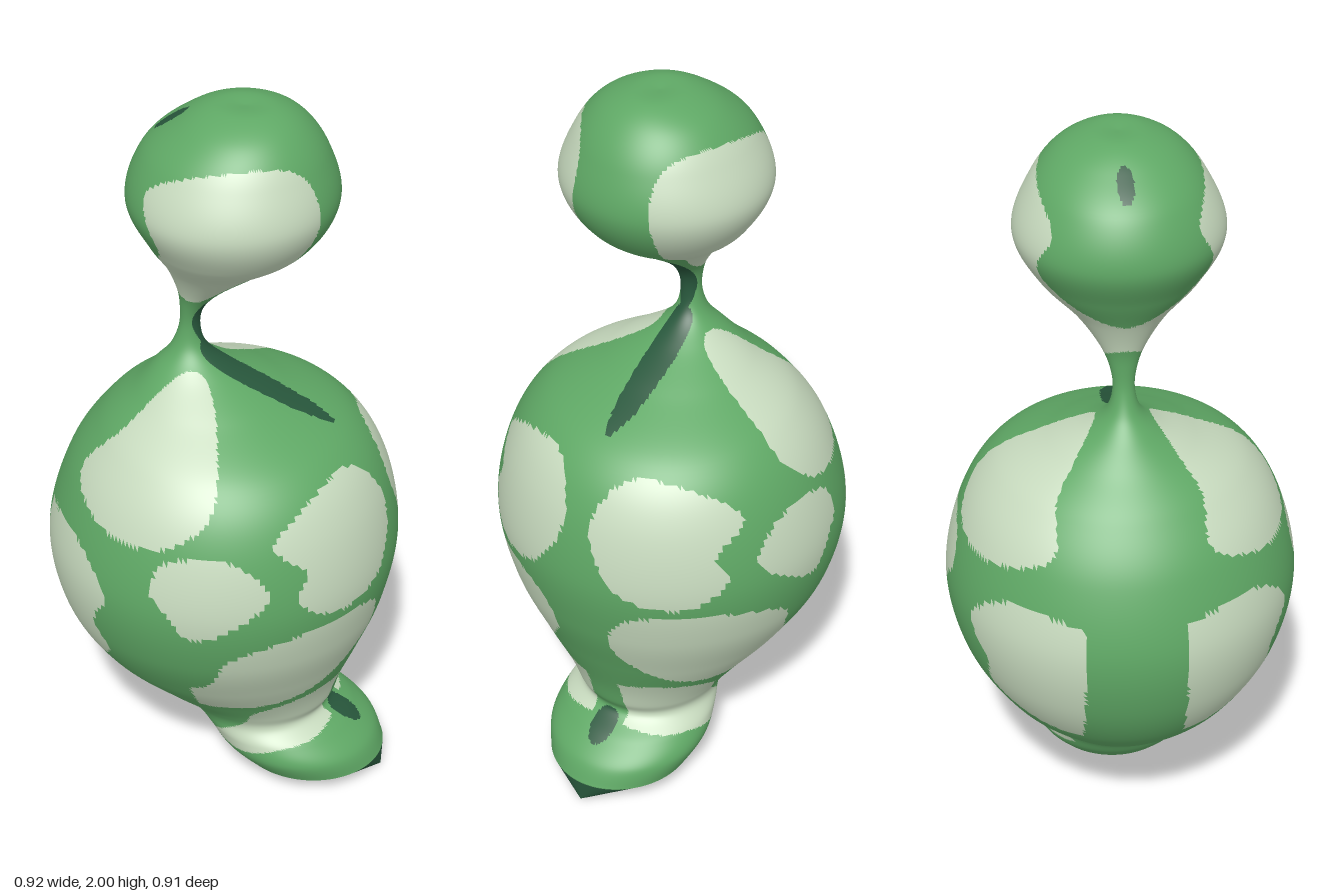
import * as THREE from 'three';

// Cross-sections from top to bottom: y, lowest x, highest x, half depth
const rings = [
  [2, 0.05, 0.05, 0], [2, -0.03, 0.13, 0.07], [1.96, -0.11, 0.2, 0.155], [1.88, -0.2, 0.255, 0.22],
  [1.76, -0.24, 0.283, 0.262], [1.65, -0.195, 0.225, 0.21], [1.56, -0.148, 0.105, 0.12], [1.48, -0.12, 0, 0.06],
  [1.42, -0.113, -0.052, 0.034], [1.36, -0.117, -0.062, 0.028], [1.3, -0.14, -0.04, 0.045], [1.25, -0.18, 0.03, 0.095],
  [1.19, -0.23, 0.155, 0.19], [1.1, -0.32, 0.33, 0.33], [0.97, -0.405, 0.42, 0.415], [0.78, -0.458, 0.457, 0.457],
  [0.6, -0.435, 0.43, 0.425], [0.45, -0.36, 0.377, 0.345], [0.33, -0.24, 0.33, 0.255], [0.26, -0.145, 0.31, 0.205],
  [0.215, -0.09, 0.296, 0.188], [0.17, -0.048, 0.36, 0.207], [0.12, -0.014, 0.42, 0.214], [0.065, 0.04, 0.446, 0.19],
];

// Pale patches as x,y outlines, or |z|,y outlines when side is set; minZ keeps them off the middle
const patches = [
  { pts: [-.15, 1.83, .03, 1.915, .2, 1.905, .26, 1.77, .19, 1.64, .08, 1.57, -.07, 1.46, -.155, 1.53, -.115, 1.69] },
  { pts: [-.07, 1.27, 0, 1.225, .06, 1.07, -.03, .975, -.22, .95, -.325, 1.01, -.2, 1.16] },
  { pts: [-.087, .85, -.05, .93, .12, .945, .21, .85, .13, .765, .02, .72, -.04, .79] },
  { minZ: 0.13, pts: [-.47, .83, -.32, .885, -.215, .78, -.255, .67, -.22, .56, -.3, .47, -.38, .465, -.46, .6] },
  { minZ: 0.05, pts: [0, .16, .1, .24, .14, .31, .33, .36, .32, .2, .2, .17, .07, .14] },
  { side: true, pts: [.36, .97, .26, 1.05, .1, 1.07, .037, .95, .13, .775, .29, .745, .36, .82, .33, .89] },
  { side: true, pts: [.42, .655, .34, .71, .14, .685, .08, .57, .19, .41, .31, .35, .35, .44] },
];

const SIDES = 220, STEPS = 11, SOLE_STEPS = 24;

function smoothOutline(flat) {
  const pts = [];
  for (let i = 0; i < flat.length; i += 2) pts.push(new THREE.Vector3(flat[i], flat[i + 1], 0));
  return new THREE.CatmullRomCurve3(pts, true, 'centripetal').getPoints(64);
}

function inside(outline, x, y) {
  let hit = false;
  for (let i = 0, j = outline.length - 1; i < outline.length; j = i++) {
    const a = outline[i], b = outline[j];
    if ((a.y > y) !== (b.y > y) && x < (b.x - a.x) * (y - a.y) / (b.y - a.y) + a.x) hit = !hit;
  }
  return hit;
}

const inEllipse = (u, v, ru, rv) => Math.hypot(u / ru, v / rv) < 1;

// Smooth cross-section between two listed ones
function ringAt(i, t) {
  const at = (k) => rings[Math.min(Math.max(k, 0), rings.length - 1)];
  const [p, a, b, n] = [at(i - 1), at(i), at(i + 1), at(i + 2)];
  return a.map((v, k) => {
    const m0 = (b[k] - p[k]) / 2, m1 = (n[k] - v) / 2, d = b[k] - v;
    return v + t * (m0 + t * (3 * d - 2 * m0 - m1 + t * (m0 + m1 - 2 * d)));
  });
}

function loop([y, x0, x1, depth]) {
  return Array.from({ length: SIDES }, (_, s) => {
    const a = (s / SIDES) * Math.PI * 2;
    return [(x0 + x1) / 2 + Math.cos(a) * (x1 - x0) / 2, y, Math.sin(a) * depth];
  });
}

// Closed loops of points, joined and sorted into one index list per colour
function loft(rows, colourOf) {
  const position = rows.flat(2);
  const index = [[], [], []];
  const mid = (tri, k) => (position[tri[0] * 3 + k] + position[tri[1] * 3 + k] + position[tri[2] * 3 + k]) / 3;
  for (let r = 0; r < rows.length - 1; r++) {
    for (let s = 0; s < SIDES; s++) {
      const n = (s + 1) % SIDES;
      const a = r * SIDES + s, c = r * SIDES + n, b = a + SIDES, d = c + SIDES;
      for (const tri of [[a, c, b], [c, d, b]]) {
        index[colourOf(mid(tri, 0), mid(tri, 1), mid(tri, 2), r, s)].push(...tri);
      }
    }
  }
  const geo = new THREE.BufferGeometry();
  geo.setAttribute('position', new THREE.Float32BufferAttribute(position, 3));
  geo.setIndex(index.flat());
  geo.computeVertexNormals();
  let start = 0;
  index.forEach((list, m) => {
    geo.addGroup(start, list.length, m);
    start += list.length;
  });
  return geo;
}

export function createModel() {
  const group = new THREE.Group();
  const paint = (name, color) => {
    const m = new THREE.MeshStandardMaterial({ color });
    m.name = name;
    return m;
  };
  const materials = [paint('leafGreen', 0x5fa865), paint('paleGreen', 0xc8dbbf), paint('darkGreen', 0x28573c)];
  const shapes = patches.map((p) => ({ ...p, outline: smoothOutline(p.pts) }));

  // Head, neck, belly and foot as one smooth skin
  const rows = [];
  for (let i = 0; i < rings.length - 1; i++) {
    for (let k = 0; k < STEPS; k++) rows.push(loop(ringAt(i, k / STEPS)));
  }
  rows.push(loop(rings[rings.length - 1]));
  const skinColour = (x, y, z) => {
    const w = Math.abs(z);
    // Neck stripe in two lobes, toe spot and crown spot
    if (x > -0.09 && (inEllipse(w, y - 1.44, 0.028, 0.125) || inEllipse(w, y - 1.23, 0.04, 0.1))) return 2;
    if (x > 0.2 && inEllipse(w, y - 0.187, 0.034, 0.034)) return 2;
    if (y > 1.85 && inEllipse(x + 0.13, w, 0.042, 0.021)) return 2;
    for (const p of shapes) {
      if (p.side ? x > 0 && inside(p.outline, w, y) : w > (p.minZ || 0) && inside(p.outline, x, y)) return 1;
    }
    return 0;
  };
  const body = new THREE.Mesh(loft(rows, skinColour), materials);
  body.name = 'body';
  group.add(body);

  // Sole drawn down to a point under the toe, with a green rim at the heel
  const rim = rows[rows.length - 1], toe = [0.445, 0, 0];
  const soleRows = Array.from({ length: SOLE_STEPS + 1 }, (_, r) =>
    rim.map((p) => p.map((v, k) => v + (toe[k] - v) * r / SOLE_STEPS)));
  const soleColour = (x, y, z, r, s) =>
    r / SOLE_STEPS > 0.02 + 0.1 * (1 - Math.cos((s / SIDES) * Math.PI * 2)) ? 2 : 0;
  const sole = new THREE.Mesh(loft(soleRows, soleColour), materials);
  sole.name = 'sole';
  group.add(sole);
  return group;
}
